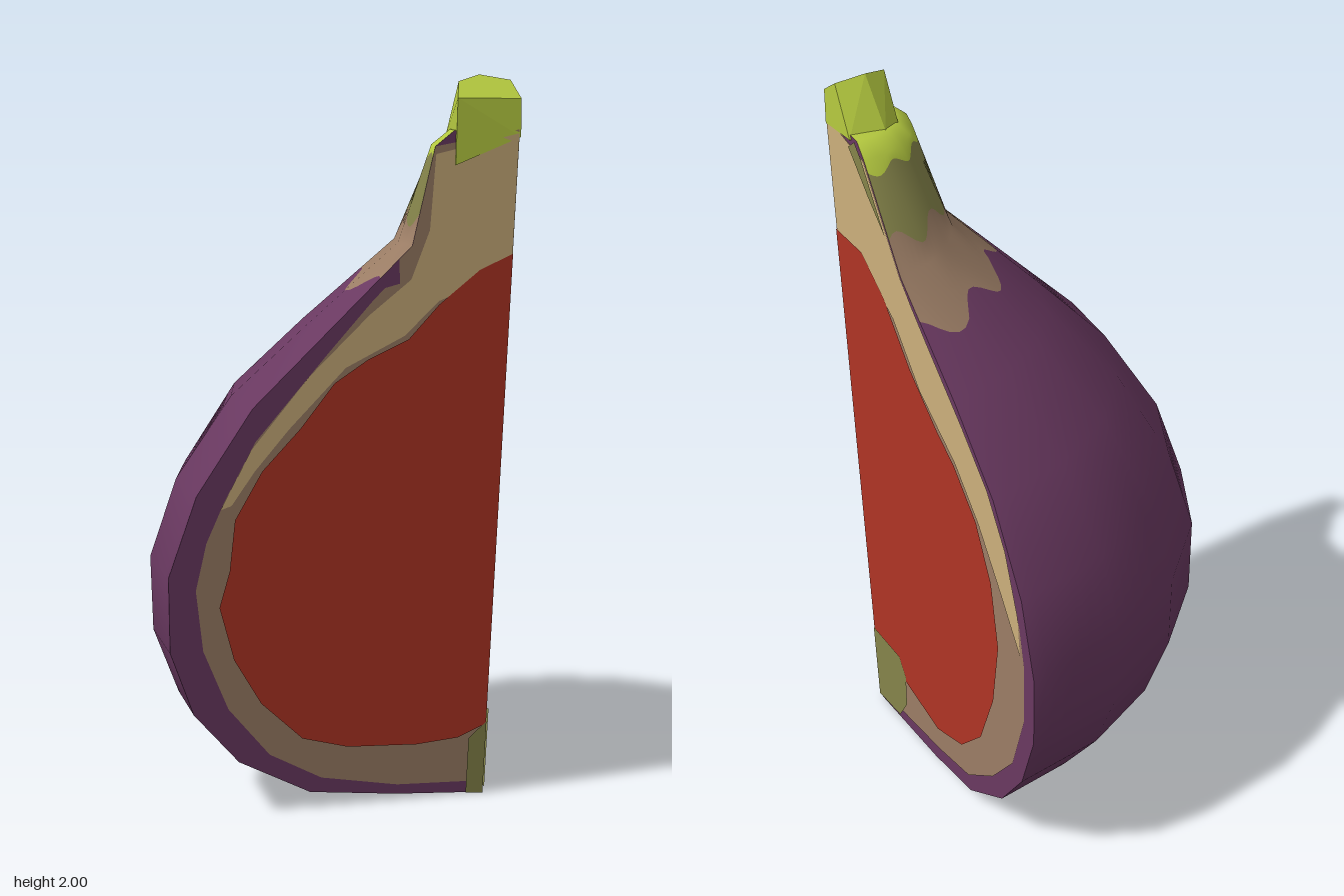
import * as THREE from 'three';
import { ConvexGeometry } from 'three/addons/geometries/ConvexGeometry.js';

const mat = (name, color, side = THREE.FrontSide) => {
  const m = new THREE.MeshStandardMaterial({ color, side });
  m.name = name;
  return m;
};

const AXIS_X = 0.45; // the two cuts meet on a leaning line
const axisZ = (y) => 0.385 + 0.102 * y;
const SLANT = 0.06; // slight turn of the front cut

// Outline of the fruit: height, x on the front cut, z on the side cut
const PROFILE = [
  [0.005, 0.45, 0.385], [0.022, 0.2, 0.03], [0.05, -0.05, -0.19], [0.155, -0.255, -0.38],
  [0.3, -0.385, -0.5], [0.48, -0.455, -0.57], [0.69, -0.465, -0.575], [0.91, -0.395, -0.51],
  [1.14, -0.25, -0.36], [1.33, -0.06, -0.15], [1.56, 0.17, 0.15], [1.82, 0.22, 0.35],
  [1.86, 0.27, 0.39], [1.87, 0.45, 0.575],
];

function profileAt(y) {
  let i = 0;
  while (i < PROFILE.length - 2 && y > PROFILE[i + 1][0]) i++;
  const [a, b] = [PROFILE[i], PROFILE[i + 1]];
  const k = (y - a[0]) / (b[0] - a[0]);
  return [a[1] + (b[1] - a[1]) * k, a[2] + (b[2] - a[2]) * k];
}

// Point on the skin; s runs from the front cut (0) to the side cut (1)
function skinPoint(s, y) {
  const [xf, zs] = profileAt(y);
  const start = Math.atan(SLANT);
  const phi = start + (Math.PI / 2 - start) * s;
  const rf = (AXIS_X - xf) / Math.cos(start);
  const r = rf + (axisZ(y) - zs - rf) * s;
  return new THREE.Vector3(AXIS_X - r * Math.cos(phi), y, axisZ(y) - r * Math.sin(phi));
}

// Quarter skin with five broad facets, smoothly shaded, in colour bands
function skinGeometry() {
  const SIDES = 5, SUB = 6, cols = SIDES * SUB;
  const wave = (y, amp, phase) => (s) => y + amp * Math.sin(s * 19 + phase);
  const rows = [
    ...PROFILE.slice(0, 10).map((p) => [p[0], 0]),
    [wave(1.455, 0.025, 1), 1], [1.56, 1], [wave(1.63, 0.025, 2.5), 2],
    [wave(1.79, 0.012, 0), 3], [1.82, 3], [1.86, 3], [1.87, 3],
  ];
  const round = [], faceted = [], index = [];
  const geo = new THREE.BufferGeometry();
  rows.forEach(([level, band], i) => {
    for (let j = 0; j <= cols; j++) {
      const s = j / cols;
      const y = typeof level === 'function' ? level(s) : level;
      const k = Math.min(Math.floor(j / SUB), SIDES - 1);
      round.push(...skinPoint(s, y).toArray());
      faceted.push(...skinPoint(k / SIDES, y).lerp(skinPoint((k + 1) / SIDES, y), s * SIDES - k).toArray());
    }
    if (i === rows.length - 1) return;
    geo.addGroup(index.length, cols * 6, band);
    for (let j = 0; j < cols; j++) {
      const a = i * (cols + 1) + j, b = a + cols + 1;
      index.push(a, b, a + 1, a + 1, b, b + 1);
    }
  });
  geo.setIndex(index);
  geo.setAttribute('position', new THREE.Float32BufferAttribute(round, 3));
  geo.computeVertexNormals();
  geo.setAttribute('position', new THREE.Float32BufferAttribute(faceted, 3));
  return geo;
}

// Flat plate lying on one of the two cuts
function cutPlate(name, points, material, layer, front) {
  const shape = new THREE.Shape(points.map(([u, y]) => new THREE.Vector2(front ? u : -u, y)));
  const geo = new THREE.ShapeGeometry(shape);
  const p = geo.attributes.position, off = layer * 0.002;
  for (let i = 0; i < p.count; i++) {
    const u = p.getX(i), y = p.getY(i);
    if (front) p.setXYZ(i, u, y, axisZ(y) + SLANT * (u - AXIS_X) + off);
    else p.setXYZ(i, AXIS_X + off, y, -u);
  }
  geo.computeVertexNormals();
  const mesh = new THREE.Mesh(geo, material);
  mesh.name = name;
  return mesh;
}

export function createModel() {
  const purple = mat('purple skin', 0x6a3961, THREE.DoubleSide);
  const brown = mat('brown rind', 0x9b7d65, THREE.DoubleSide);
  const olive = mat('olive neck', 0x85844a, THREE.DoubleSide);
  const lime = mat('lime stem', 0xb6cb40, THREE.DoubleSide);
  const tan = mat('tan rind', 0xccb07c);
  const red = mat('red flesh', 0xb03424);

  const model = new THREE.Group();
  model.name = 'fruitWedge';

  const skin = new THREE.Mesh(skinGeometry(), [purple, brown, olive, lime]);
  skin.name = 'skin';
  model.add(skin);

  // Front cut, points are x and y
  const A = AXIS_X;
  const frontCut = new THREE.Group();
  frontCut.name = 'frontCut';
  frontCut.add(
    cutPlate('frontSkinEdge', PROFILE.map((p) => [p[1], p[0]]), purple, 0, true),
    cutPlate('frontRind', [
      [A, 0.04], [0.2, 0.05], [-0.02, 0.09], [-0.17, 0.17], [-0.29, 0.31], [-0.365, 0.48],
      [-0.39, 0.65], [-0.365, 0.78], [-0.32, 0.89], [-0.24, 1.05], [-0.05, 1.28], [0.07, 1.42],
      [0.1, 1.45], [0.14, 1.46], [0.135, 1.525], [0.17, 1.56], [0.22, 1.82], [A, 1.86],
    ], brown, 1, true),
    cutPlate('frontPaleRind', [
      [-0.33, 0.87], [-0.25, 1.03], [-0.1, 1.22], [0.06, 1.38], [0.17, 1.47], [0.215, 1.6],
      [0.222, 1.8], [A, 1.85], [A, 1.5], [0.33, 1.44], [0.25, 1.41], [0.16, 1.32],
      [0.0, 1.24], [-0.15, 1.08], [-0.24, 0.97], [-0.3, 0.88],
    ], tan, 2, true),
    cutPlate('frontFlesh', [
      [A, 1.53], [0.36, 1.49], [0.25, 1.4], [0.17, 1.31], [0.06, 1.26], [-0.03, 1.2],
      [-0.12, 1.08], [-0.22, 0.97], [-0.29, 0.84], [-0.3, 0.7], [-0.325, 0.6], [-0.28, 0.45],
      [-0.2, 0.32], [-0.08, 0.21], [0.05, 0.175], [0.25, 0.165], [0.37, 0.175], [A, 0.21],
    ], red, 3, true),
    cutPlate('frontBase', [[0.4, 0.01], [A, 0.005], [A, 0.215], [0.42, 0.19], [0.4, 0.17]], olive, 4, true),
  );

  // Side cut, points are z and y
  const edge = (y) => [axisZ(y), y];
  const sideCut = new THREE.Group();
  sideCut.name = 'sideCut';
  sideCut.add(
    cutPlate('sideSkinEdge', PROFILE.map((p) => [p[2], p[0]]), purple, 0, false),
    cutPlate('sideRind', [
      edge(0.03), [0.2, 0.05], [0, 0.07], [-0.18, 0.1], [-0.33, 0.2], [-0.45, 0.33],
      [-0.52, 0.52], [-0.525, 0.7], [-0.5, 0.82], [-0.42, 1.02], [-0.2, 1.25], [0, 1.42],
      [0.15, 1.56], [0.35, 1.82], edge(1.86),
    ], brown, 1, false),
    cutPlate('sidePaleRind', [
      [-0.505, 0.73], [-0.495, 0.85], [-0.43, 1.02], [-0.335, 1.155], [-0.2, 1.275], [0, 1.435],
      [0.15, 1.56], [0.35, 1.82], edge(1.86), edge(1.5), [0.36, 1.5], [0.2, 1.41],
      [0.05, 1.26], [-0.15, 1.14], [-0.28, 1.02], [-0.4, 0.87],
    ], tan, 2, false),
    cutPlate('sideFlesh', [
      edge(1.53), [0.38, 1.53], [0.25, 1.45], [0.1, 1.3], [-0.05, 1.19], [-0.15, 1.13],
      [-0.27, 1.02], [-0.35, 0.87], [-0.385, 0.68], [-0.35, 0.48], [-0.27, 0.3], [-0.15, 0.19],
      [0, 0.145], [0.2, 0.18], edge(0.23),
    ], red, 3, false),
    cutPlate('sideBase', [
      edge(0.02), edge(0.25), [0.24, 0.25], [0.2, 0.2], [0.2, 0.1], [0.25, 0.03],
    ], olive, 4, false),
    cutPlate('sideNeck', [[0.43, 1.83], [0.39, 1.86], [0.35, 1.82], [0.22, 1.65], [0.32, 1.73]], olive, 4, false),
  );
  model.add(frontCut, sideCut);

  // Halved stem stub, lower ring then upper ring
  const stem = new THREE.Mesh(new ConvexGeometry([
    [0.275, 1.77, 0.565], [0.29, 1.84, 0.46], [0.35, 1.855, 0.418], [0.455, 1.85, 0.425], [0.455, 1.84, 0.576],
    [0.275, 1.945, 0.574], [0.3, 1.985, 0.52], [0.37, 2.0, 0.492], [0.455, 1.985, 0.505], [0.455, 1.94, 0.576],
  ].map((p) => new THREE.Vector3(...p))), lime);
  stem.name = 'stem';
  model.add(stem);

  return model;
}
